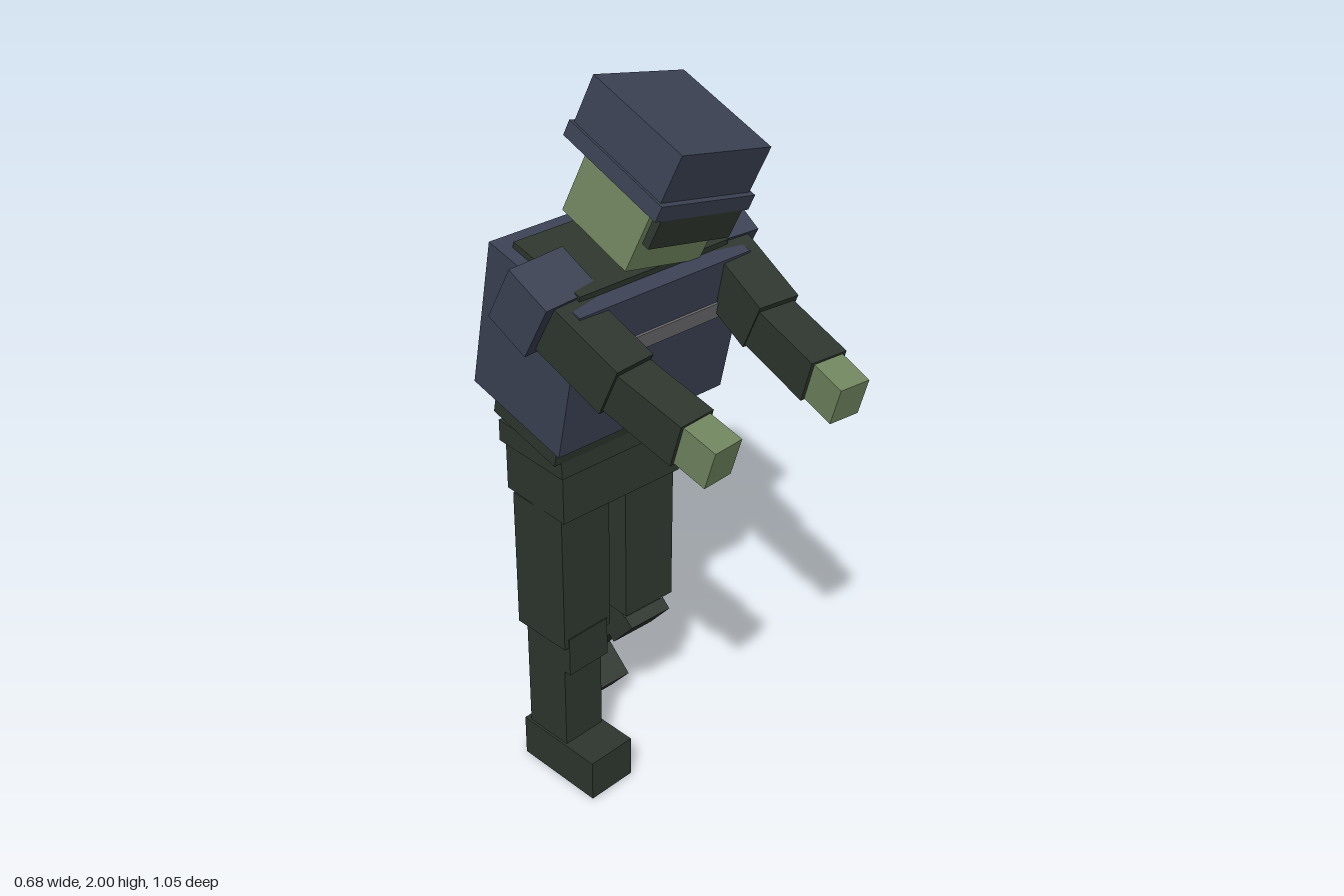
import * as THREE from 'three';

const material = (name, color) => {
  const m = new THREE.MeshStandardMaterial({ color });
  m.name = name;
  return m;
};

export function createModel() {
  const navy = material('navy armour', 0x3c4254);
  const cloth = material('dark cloth', 0x2e362e);
  const skin = material('green skin', 0x70855f);
  const silver = material('grey stripe', 0x6a6a6e);

  const model = new THREE.Group();
  model.name = 'figure';

  const group = (name, parent, x, y, z) => {
    const g = new THREE.Group();
    g.name = name;
    g.position.set(x, y, z);
    parent.add(g);
    return g;
  };
  // box given by its ranges along each axis
  const box = (name, mat, parent, [x0, x1], [y0, y1], [z0, z1]) => {
    const mesh = new THREE.Mesh(new THREE.BoxGeometry(x1 - x0, y1 - y0, z1 - z0), mat);
    mesh.position.set((x0 + x1) / 2, (y0 + y1) / 2, (z0 + z1) / 2);
    mesh.name = name;
    parent.add(mesh);
    return mesh;
  };
  // box running from point a to point b
  const limb = (name, mat, parent, a, b, w, h) => {
    const A = new THREE.Vector3(...a), B = new THREE.Vector3(...b);
    const mesh = new THREE.Mesh(new THREE.BoxGeometry(w, h, A.distanceTo(B)), mat);
    mesh.position.copy(A).add(B).multiplyScalar(0.5);
    mesh.lookAt(B);
    mesh.name = name;
    parent.add(mesh);
  };

  // hips and belt
  box('hips', cloth, model, [-0.195, 0.19], [0.88, 1.02], [-0.265, -0.04]);
  box('belt', cloth, model, [-0.205, 0.2], [1.02, 1.08], [-0.277, -0.03]);

  // legs: the left knee is bent backwards
  const leg = (name, x, yaw, bend) => {
    const g = group(name, model, x, 0, -0.155);
    g.rotation.y = yaw;
    box('thigh', cloth, g, [-0.082, 0.082], [0.47, 0.88], [-0.087, 0.093]);
    const lower = group('lowerLeg', g, 0, 0.455, 0);
    lower.rotation.x = bend;
    box('shin', cloth, lower, [-0.066, 0.066], [-0.35, 0.035], [-0.072, 0.072]);
    box('kneePad', cloth, lower, [-0.068, 0.068], [-0.075, 0.043], [0.06, 0.096]);
    box('foot', cloth, lower, [-0.073, 0.073], [-0.455, -0.33], [-0.09, 0.18]);
  };
  leg('rightLeg', -0.113, 0.06, 0);
  leg('leftLeg', 0.108, 0, 0.7);

  // torso leaning forward
  const torso = group('torso', model, 0, 1.373, -0.085);
  torso.rotation.x = 0.215;
  box('shirt', cloth, torso, [-0.228, 0.226], [-0.285, 0.222], [-0.12, 0.12]);
  box('vest', navy, torso, [-0.262, 0.26], [-0.206, 0.206], [-0.165, 0.165]);
  for (const s of [-1, 1]) {
    const stripe = box('vestStripe', silver, torso, [-0.24, 0.24], [0.04, 0.085], [-0.004, 0.004]);
    stripe.position.z = s * 0.167;
  }
  box('neck', skin, torso, [-0.06, 0.09], [0.18, 0.26], [-0.06, 0.06]);

  // arms reaching forward
  for (const [name, s] of [['rightArm', -1], ['leftArm', 1]]) {
    const g = group(name, model, 0, 0, 0);
    const pad = box('shoulderPad', navy, g, [-0.0825, 0.0825], [-0.08, 0.08], [-0.066, 0.066]);
    pad.position.set(s * 0.25, 1.522, -0.022);
    pad.rotation.set(0.49, -s * 0.09, 0, 'YXZ');
    limb('upperArm', cloth, g, [s * 0.247, 1.515, -0.01], [s * 0.224, 1.407, 0.23], 0.115, 0.138);
    limb('forearm', cloth, g, [s * 0.226, 1.417, 0.18], [s * 0.205, 1.35, 0.423], 0.104, 0.114);
    limb('hand', skin, g, [s * 0.205, 1.35, 0.42], [s * 0.197, 1.323, 0.513], 0.085, 0.104);
  }

  // tilted head and cap, measured down from the top of the cap
  const head = group('head', model, 0.086, 1.912, 0.067);
  head.rotation.set(0.32, -0.016, -0.215);
  box('face', skin, head, [-0.122, 0.122], [-0.33, -0.1], [-0.108, 0.127]);
  box('capCrown', navy, head, [-0.145, 0.145], [-0.125, 0], [-0.155, 0.155]);
  box('capBrim', navy, head, [-0.153, 0.153], [-0.162, -0.122], [-0.163, 0.168]);
  box('visor', cloth, head, [-0.133, 0.133], [-0.238, -0.16], [0.145, 0.167]);

  return model;
}
